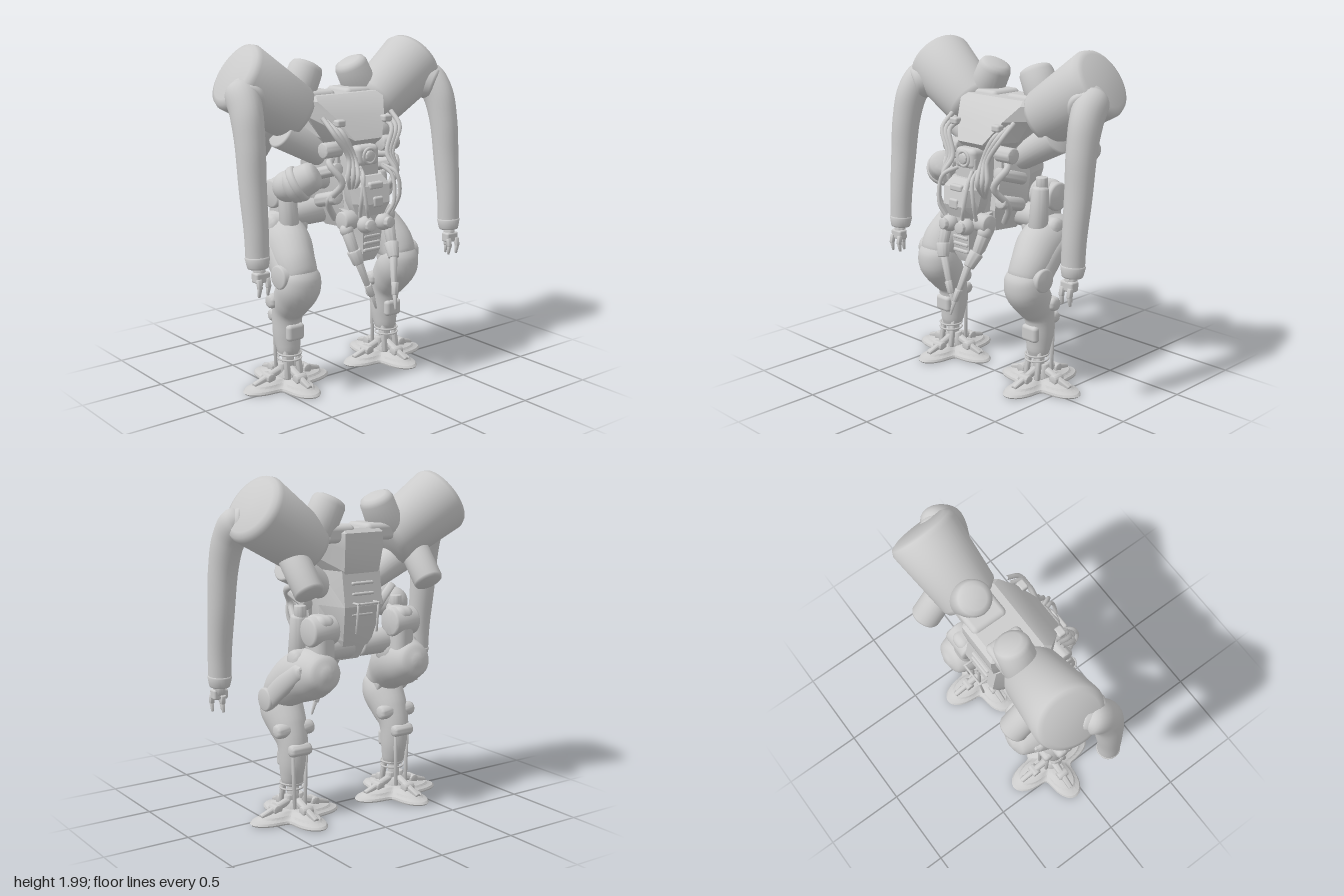
import * as THREE from 'three';
import { toCreasedNormals } from 'three/addons/utils/BufferGeometryUtils.js';
import { RoundedBoxGeometry } from 'three/addons/geometries/RoundedBoxGeometry.js';

const mat = new THREE.MeshStandardMaterial({ color: 0xcccccc });
const V = (p) => new THREE.Vector3(...p);

function add(parent, name, geo, pos = [0, 0, 0]) {
  const m = new THREE.Mesh(geo, mat);
  m.name = name;
  m.position.set(...pos);
  parent.add(m);
  return m;
}

// Closed surface through a list of rings with equal point counts
function skin(rings, crease = 0.7) {
  const n = rings[0].length, pos = [], idx = [];
  rings.forEach((r) => r.forEach((p) => pos.push(p.x, p.y, p.z)));
  for (let i = 0; i < rings.length - 1; i++) for (let j = 0; j < n; j++) {
    const a = i * n + j, b = i * n + (j + 1) % n;
    idx.push(a, b, a + n, b, b + n, a + n);
  }
  [0, rings.length - 1].forEach((k) => {
    const c = rings[k].reduce((s, p) => s.add(p), new THREE.Vector3()).divideScalar(n);
    const ci = pos.length / 3;
    pos.push(c.x, c.y, c.z);
    for (let j = 0; j < n; j++) {
      const a = k * n + j, b = k * n + (j + 1) % n;
      k ? idx.push(a, b, ci) : idx.push(b, a, ci);
    }
  });
  // turn the surface outward if its signed volume is negative
  const at = (i) => new THREE.Vector3().fromArray(pos, i * 3);
  let vol = 0;
  for (let i = 0; i < idx.length; i += 3) vol += at(idx[i]).dot(at(idx[i + 1]).cross(at(idx[i + 2])));
  if (vol < 0) idx.reverse();
  const g = new THREE.BufferGeometry();
  g.setAttribute('position', new THREE.Float32BufferAttribute(pos, 3));
  g.setIndex(idx);
  return toCreasedNormals(g, crease);
}

// Smooth limb through sections [x, y, z, radius across, radius along z]
function limb(sections, steps = 28, sides = 24) {
  const path = new THREE.CatmullRomCurve3(sections.map((q) => V(q.slice(0, 3))));
  const size = new THREE.CatmullRomCurve3(sections.map((q) => new THREE.Vector3(q[3], q[4], 0)), false, 'catmullrom', 0.4);
  const rings = [];
  for (let i = 0; i <= steps; i++) {
    const t = i / steps, c = path.getPoint(t), d = path.getTangent(t), r = size.getPoint(t);
    const u = new THREE.Vector3(0, 0, 1).cross(d).normalize(), w = d.clone().cross(u);
    rings.push(Array.from({ length: sides }, (_, j) => {
      const a = j / sides * Math.PI * 2;
      return c.clone().addScaledVector(u, r.x * Math.cos(a)).addScaledVector(w, r.y * Math.sin(a));
    }));
  }
  return skin(rings);
}

// Bevelled cylinder from a to b
function rod(parent, name, a, b, r1, r2 = r1, bevel = 0.15, sides = 28) {
  const d = V(b).sub(V(a)), L = d.length(), e = Math.min(r1 * bevel, L * 0.3);
  const pts = [[0, 0], [r1 - e, 0], [r1 - e * 0.3, e * 0.3], [r1, e], [r2, L - e], [r2 - e * 0.3, L - e * 0.3], [r2 - e, L], [0, L]];
  const g = toCreasedNormals(new THREE.LatheGeometry(pts.map((p) => new THREE.Vector2(...p)), sides), 0.9);
  const m = add(parent, name, g, a);
  m.quaternion.setFromUnitVectors(new THREE.Vector3(0, 1, 0), d.normalize());
  return m;
}

const hose = (parent, name, pts, r) =>
  add(parent, name, new THREE.TubeGeometry(new THREE.CatmullRomCurve3(pts.map(V)), 24, r, 8));
const ball = (parent, name, p, r) => add(parent, name, new THREE.SphereGeometry(r, 24, 16), p);
const box = (parent, name, size, p, r = 0.012) => add(parent, name, new RoundedBoxGeometry(...size, 3, r), p);

// Six-sided hull from levels [y, back x, mid x, front x, back, mid and front half widths]
const hull = (levels) => skin(levels.map(([y, xb, xm, xf, hb, hm, hf]) =>
  [[xb, hb], [xm, hm], [xf, hf], [xf, -hf], [xm, -hm], [xb, -hb]].map(([x, z]) => new THREE.Vector3(x, y, z))), 0.35);

function buildShoulderAndArm(s) {
  const g = new THREE.Group();
  g.name = s > 0 ? 'leftArm' : 'rightArm';
  const P = (x, y, z) => [x, y, z * s];
  rod(g, 'shoulderDrum', P(-0.12, 1.575, 0.26), P(-0.165, 1.835, 0.665), 0.17, 0.203, 0.25, 48);
  rod(g, 'rearThruster', P(-0.13, 1.62, 0.42), P(-0.355, 1.36, 0.41), 0.085, 0.085, 0.2);
  rod(g, 'topThruster', P(-0.16, 1.64, 0.26), P(-0.17, 1.86, 0.15), 0.105, 0.1, 0.35);
  rod(g, 'shoulderCollar', P(-0.09, 1.73, 0.62), P(0.01, 1.69, 0.69), 0.11, 0.1);
  add(g, 'arm', limb([
    [-0.1, 1.76, 0.66, 0.03, 0.05], [-0.055, 1.735, 0.68, 0.095, 0.095], [0.015, 1.64, 0.7, 0.1, 0.088],
    [0.06, 1.48, 0.71, 0.088, 0.082], [0.085, 1.25, 0.715, 0.078, 0.076], [0.112, 1.0, 0.715, 0.068, 0.068],
    [0.118, 0.86, 0.715, 0.065, 0.066]].map(([x, y, z, a, b]) => [x, y, z * s, a, b]), 36));
  rod(g, 'cuff', P(0.117, 0.87, 0.715), P(0.122, 0.8, 0.715), 0.07, 0.06);
  rod(g, 'wrist', P(0.125, 0.81, 0.715), P(0.135, 0.76, 0.71), 0.035);
  box(g, 'palm', [0.06, 0.06, 0.09], P(0.14, 0.755, 0.71));
  for (const [x, z] of [[0.16, 0.68], [0.165, 0.74], [0.11, 0.7]]) {
    rod(g, 'fingerBase', P(x, 0.75, z), P(x + 0.01, 0.7, z), 0.016);
    rod(g, 'fingerTip', P(x + 0.01, 0.71, z), P(x, 0.65, z), 0.015, 0.008);
  }
  return g;
}

function buildLeg(s) {
  const g = new THREE.Group();
  g.name = s > 0 ? 'leftLeg' : 'rightLeg';
  const P = (x, y, z) => [x, y, z * s];
  const L = (list) => limb(list.map(([x, y, z, a, b]) => [x, y, z * s, a, b]));
  add(g, 'thigh', L([[-0.335, 0.9, -0.05, 0.03, 0.03], [-0.305, 0.895, -0.05, 0.095, 0.1], [-0.2, 0.88, -0.05, 0.145, 0.135],
    [-0.07, 0.84, -0.03, 0.15, 0.135], [0.04, 0.76, 0, 0.125, 0.12], [0.11, 0.69, 0, 0.085, 0.1], [0.14, 0.655, 0, 0.03, 0.04]]));
  add(g, 'thighPanel', L([[-0.24, 0.93, 0.06, 0.01, 0.02], [-0.21, 0.905, 0.06, 0.05, 0.035], [-0.06, 0.8, 0.085, 0.065, 0.035],
    [0.05, 0.7, 0.105, 0.06, 0.03]]));
  rod(g, 'kneeDisc', P(0.06, 0.7, -0.1), P(0.06, 0.7, 0.135), 0.07);
  add(g, 'shin', L([[0.13, 0.76, 0, 0.03, 0.05], [0.115, 0.71, 0, 0.09, 0.11], [0.08, 0.63, 0, 0.122, 0.128], [0.015, 0.54, 0, 0.115, 0.112],
    [-0.035, 0.45, 0, 0.092, 0.09], [-0.042, 0.33, 0, 0.085, 0.083], [-0.032, 0.23, 0, 0.068, 0.07], [-0.03, 0.195, 0, 0.055, 0.06]]));
  box(g, 'shinPad', [0.05, 0.1, 0.115], P(0.035, 0.345, 0), 0.022);
  rod(g, 'calfBoss', P(-0.115, 0.42, -0.07), P(-0.115, 0.42, 0.07), 0.036, 0.036, 0.5);
  for (const k of [-1, 1]) {
    rod(g, 'shinBoss', P(-0.05, 0.53, 0.03 * k), P(-0.05, 0.53, 0.125 * k), 0.045, 0.042, 0.4);
    rod(g, 'calfPiston', P(-0.11, 0.07, 0.035 * k), P(-0.11, 0.4, 0.045 * k), 0.011);
    rod(g, 'anklePiston', P(0.025, 0.06, 0.045 * k), P(-0.005, 0.24, 0.04 * k), 0.018);
    rod(g, 'ankleClevis', P(-0.045, 0.05, 0.045 * k), P(-0.045, 0.14, 0.035 * k), 0.026);
  }
  // Hip housing and tank above the thigh
  box(g, 'hipHousing', [0.17, 0.3, 0.13], P(-0.19, 1.06, -0.09), 0.05);
  rod(g, 'hipDisc', P(-0.2, 1.12, -0.17), P(-0.2, 1.12, 0.0), 0.085);
  rod(g, 'hipTank', P(-0.05, 0.94, -0.03), P(-0.07, 1.2, -0.03), 0.058, 0.05, 0.3);
  rod(g, 'hipCap', P(-0.08, 1.17, -0.03), P(-0.08, 1.255, -0.03), 0.035);
  rod(g, 'hipAxle', P(-0.12, 1.0, -0.34), P(-0.12, 1.0, -0.05), 0.075);
  rod(g, 'hipSocket', P(-0.13, 0.93, -0.18), P(-0.13, 0.96, 0.07), 0.075, 0.06, 0.4);
  // Ankle
  rod(g, 'ankle', P(-0.04, 0.05, 0), P(-0.035, 0.23, 0), 0.035);
  for (const y of [0.175, 0.205]) {
    add(g, 'ankleRing', new THREE.TorusGeometry(0.068, 0.006, 6, 28), P(-0.02, y, 0)).rotation.x = Math.PI / 2;
  }
  // Four-lobed foot in stepped layers
  const layer = ([y, k, spread]) => Array.from({ length: 64 }, (_, j) => {
    const a = j / 64 * Math.PI * 2, r = (0.22 + spread * Math.cos(4 * a)) * k;
    return new THREE.Vector3(-0.055 + r * Math.cos(a), y, r * Math.sin(a));
  });
  add(g, 'foot', skin([[0, 0.98, 0.075], [0.008, 1, 0.075], [0.02, 0.96, 0.075], [0.03, 0.82, 0.08], [0.042, 0.76, 0.085],
    [0.05, 0.6, 0.08], [0.06, 0.5, 0.07], [0.065, 0.3, 0]].map(layer), 0.5));
  rod(g, 'footHub', P(-0.045, 0.05, 0), P(-0.045, 0.11, 0), 0.075, 0.055);
  for (let i = 0; i < 4; i++) {
    const a = i * Math.PI / 2, c = Math.cos(a), d = Math.sin(a);
    rod(g, 'toeStrut', P(-0.05 + 0.04 * c, 0.105, 0.04 * d), P(-0.055 + 0.23 * c, 0.04, 0.23 * d), 0.024, 0.018);
    rod(g, 'toeKnuckle', P(-0.05 + 0.13 * c + 0.035 * d, 0.072, 0.13 * d - 0.035 * c),
      P(-0.05 + 0.13 * c - 0.035 * d, 0.072, 0.13 * d + 0.035 * c), 0.028);
  }
  return g;
}

function buildTorso() {
  const g = new THREE.Group();
  g.name = 'torso';
  add(g, 'chest', hull([[1.41, -0.24, -0.02, 0.16, 0.1, 0.15, 0.08], [1.45, -0.26, 0, 0.2, 0.12, 0.19, 0.1],
    [1.58, -0.28, 0.0, 0.12, 0.13, 0.28, 0.18], [1.665, -0.28, -0.03, 0.04, 0.13, 0.29, 0.24], [1.69, -0.25, -0.05, 0, 0.11, 0.27, 0.22]]));
  add(g, 'abdomen', hull([[0.92, -0.14, -0.08, 0.06, 0.06, 0.1, 0.07], [1.05, -0.22, -0.1, 0.1, 0.1, 0.16, 0.1],
    [1.25, -0.28, -0.1, 0.07, 0.13, 0.19, 0.12], [1.45, -0.25, -0.08, 0.06, 0.13, 0.17, 0.12]]));
  for (let i = 0; i < 4; i++) box(g, 'backVent', [0.03, 0.018, 0.15], [-0.265 + Math.abs(i - 2) * 0.005, 1.2 + i * 0.06, 0]);
  rod(g, 'backRail', [-0.325, 1.27, -0.07], [-0.325, 1.27, 0.07], 0.007);
  for (const s of [-1, 1]) {
    const P = (x, y, z) => [x, y, z * s];
    rod(g, 'backBar', P(-0.305, 1.1, 0.07), P(-0.325, 1.275, 0.07), 0.007);
    rod(g, 'railMount', P(-0.25, 1.27, 0.07), P(-0.335, 1.27, 0.07), 0.007);
    box(g, 'shoulderFlange', [0.22, 0.1, 0.2], P(-0.15, 1.66, 0.14), 0.03);
    rod(g, 'ribBrace', P(-0.08, 1.32, 0.1), P(-0.1, 1.5, 0.4), 0.07, 0.1);
    rod(g, 'sideBarrel', P(0.12, 1.4, 0.15), P(0.12, 1.4, 0.27), 0.045);
    rod(g, 'sideCanister', P(-0.02, 1.24, 0.21), P(0.18, 1.3, 0.2), 0.035);
    rod(g, 'flankCanister', P(-0.03, 1.08, 0.18), P(0.15, 1.13, 0.19), 0.04);
    box(g, 'chestClamp', [0.05, 0.04, 0.06], P(0.15, 1.55, 0.17));
    for (let i = 0; i < 3; i++) {
      hose(g, 'chestHose', [P(0.1, 1.58 - i * 0.02, 0.25 - i * 0.03), P(0.19, 1.5, 0.24 - i * 0.03), P(0.22, 1.36, 0.16 - i * 0.02),
        P(0.24 + i * 0.02, 1.25, 0.18 - i * 0.02), P(0.2, 1.15, 0.12)], 0.014);
    }
    hose(g, 'sideHose', [P(0.05, 1.33, 0.15), P(0.15, 1.32, 0.24), P(0.2, 1.22, 0.19), P(0.1, 1.1, 0.21), P(0.05, 0.98, 0.13)], 0.02);
    hose(g, 'frontHose', [P(0.22, 1.3, 0.08), P(0.3, 1.26, 0.12), P(0.31, 1.14, 0.14), P(0.27, 1.03, 0.12)], 0.012);
  }
  // Large round pod on one flank
  rod(g, 'podArm', [-0.02, 1.2, 0.15], [0.03, 1.22, 0.4], 0.05);
  rod(g, 'flankPod', [0.0, 1.18, 0.43], [0.13, 1.28, 0.31], 0.1, 0.085, 0.4);
  rod(g, 'podBand', [0.03, 1.205, 0.4], [0.06, 1.23, 0.37], 0.107);
  ball(g, 'podEnd', [0.0, 1.2, 0.42], 0.09);
  return g;
}

function buildHead() {
  const g = new THREE.Group();
  g.name = 'head';
  box(g, 'neckCore', [0.2, 0.4, 0.16], [0.12, 1.17, 0]);
  box(g, 'sensorHousing', [0.14, 0.12, 0.16], [0.16, 1.36, 0], 0.03);
  rod(g, 'sensorEye', [0.2, 1.36, 0], [0.245, 1.36, 0], 0.032);
  add(g, 'sensorRim', new THREE.TorusGeometry(0.042, 0.01, 8, 24), [0.23, 1.36, 0]).rotation.y = Math.PI / 2;
  add(g, 'facePlate', hull([[1.03, 0.16, 0.24, 0.29, 0.08, 0.1, 0.06], [1.1, 0.15, 0.24, 0.315, 0.11, 0.13, 0.08],
    [1.2, 0.14, 0.22, 0.29, 0.12, 0.14, 0.1], [1.25, 0.14, 0.2, 0.245, 0.1, 0.11, 0.08]]));
  box(g, 'browPlate', [0.04, 0.04, 0.1], [0.28, 1.2, 0]);
  box(g, 'nosePlate', [0.03, 0.06, 0.07], [0.305, 1.11, 0]);
  add(g, 'jaw', hull([[0.75, 0.17, 0.2, 0.23, 0.04, 0.06, 0.04], [0.8, 0.12, 0.19, 0.25, 0.06, 0.08, 0.06],
    [0.92, 0.06, 0.17, 0.26, 0.08, 0.09, 0.07], [1.04, 0.04, 0.15, 0.26, 0.08, 0.12, 0.08]]));
  for (const y of [0.82, 0.86, 0.9]) box(g, 'jawSlat', [0.03, 0.02, 0.12], [0.25, y, 0], 0.008);
  for (const s of [-1, 1]) {
    const P = (x, y, z) => [x, y, z * s];
    ball(g, 'lens', P(0.28, 0.98, 0.065), 0.05);
    rod(g, 'lensCap', P(0.3, 0.98, 0.065), P(0.34, 0.985, 0.07), 0.033);
    rod(g, 'cheekDrum', P(0.2, 1.0, 0.09), P(0.2, 1.0, 0.18), 0.055);
    hose(g, 'faceFrame', [P(0.24, 1.3, 0.08), P(0.3, 1.25, 0.11), P(0.33, 1.1, 0.1), P(0.31, 1.03, 0.07)], 0.011);
    // Small hanging manipulator
    const e = s > 0 ? 0 : 0.09, zt = s > 0 ? 0.01 : 0.06;
    ball(g, 'manipulatorShoulder', P(0.22, 0.95, 0.155), 0.04);
    rod(g, 'manipulatorUpper', P(0.22, 0.95, 0.155), P(0.27, 0.83, 0.14), 0.035, 0.03);
    rod(g, 'manipulatorSleeve', P(0.265, 0.84, 0.14), P(0.285 + e * 0.3, 0.76, 0.12), 0.042, 0.032);
    rod(g, 'manipulatorLower', P(0.28 + e * 0.3, 0.78, 0.12), P(0.3 + e * 0.7, 0.6, 0.05 + zt * 0.5), 0.024, 0.016);
    rod(g, 'manipulatorWrist', P(0.3 + e * 0.66, 0.63, 0.06 + zt * 0.5), P(0.305 + e * 0.8, 0.56, 0.03 + zt * 0.7), 0.022, 0.018);
    rod(g, 'manipulatorTip', P(0.305 + e * 0.8, 0.57, 0.03 + zt * 0.7), P(0.31 + e, 0.48, zt), 0.014, 0.006);
  }
  g.position.z = 0.02;
  return g;
}

export function createModel() {
  const model = new THREE.Group();
  model.name = 'walkerRobot';
  model.add(buildTorso(), buildHead());
  for (const s of [1, -1]) {
    const leg = buildLeg(s);
    leg.position.z = s > 0 ? 0.41 : -0.33;
    model.add(buildShoulderAndArm(s), leg);
  }
  return model;
}
